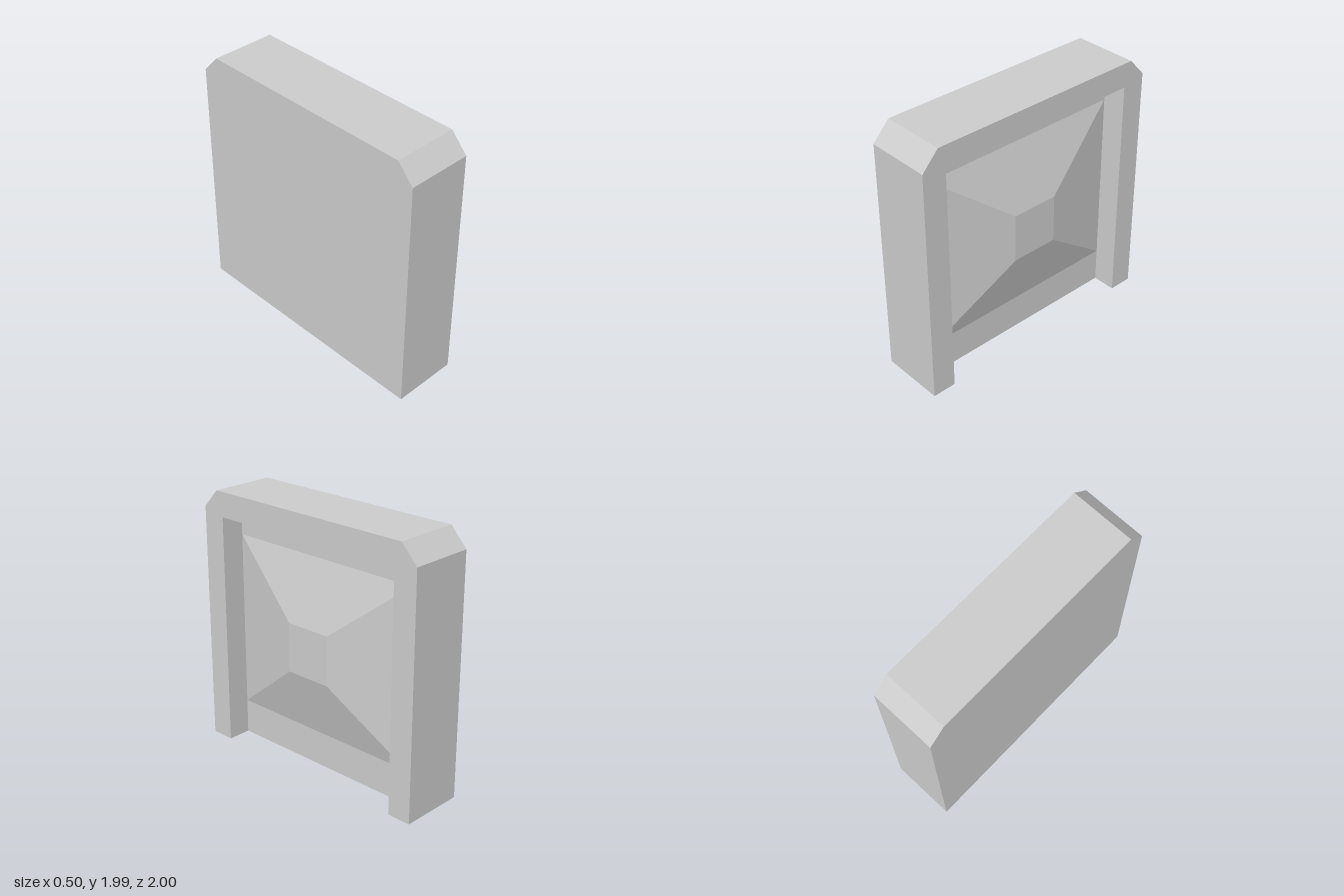
import * as THREE from 'three';

const BACK = -0.25, FRONT = 0.25, FLOOR = 0.065, PANEL = 0.208;

// Flat polygon, triangulated in the plane of axes u and v, facing along hint
function face(out, pts, u, v, hint) {
  const verts = pts.map((p) => new THREE.Vector3(...p));
  const flat = pts.map((p) => new THREE.Vector2(p[u], p[v]));
  for (const tri of THREE.ShapeUtils.triangulateShape(flat, [])) {
    const [a, b, c] = tri.map((i) => verts[i]);
    const n = b.clone().sub(a).cross(c.clone().sub(a));
    const order = n.dot(hint) < 0 ? [a, c, b] : [a, b, c];
    for (const p of order) out.push(p.x, p.y, p.z);
  }
}

// Walls along an open [z, y] profile, facing away from (side 1) or towards (side -1) the middle
function walls(out, profile, x0, x1, side) {
  for (let i = 0; i < profile.length - 1; i++) {
    const [z0, y0] = profile[i], [z1, y1] = profile[i + 1];
    const hint = new THREE.Vector3(0, (y0 + y1) / 2 - 0.95, (z0 + z1) / 2).multiplyScalar(side);
    const level = Math.abs(z1 - z0) > Math.abs(y1 - y0);
    face(out, [[x0, y0, z0], [x1, y0, z0], [x1, y1, z1], [x0, y1, z1]], 0, level ? 2 : 1, hint);
  }
}

function makeMesh(name, positions) {
  const geometry = new THREE.BufferGeometry();
  geometry.setAttribute('position', new THREE.Float32BufferAttribute(positions, 3));
  geometry.computeVertexNormals();
  const mesh = new THREE.Mesh(geometry, new THREE.MeshStandardMaterial({ color: 0xcccccc, flatShading: true }));
  mesh.name = name;
  return mesh;
}

export function createModel() {
  const group = new THREE.Group();
  group.name = 'recessedBlock';
  const toX = new THREE.Vector3(1, 0, 0);
  const at = (x, profile) => profile.map(([z, y]) => [x, y, z]);

  // Profiles as [z, y]: chamfered outline and the opening down to the ground
  const outline = [[-1, 0], [-1, 1.85], [-0.87, 1.99], [0.87, 1.99], [1, 1.85], [1, 0]];
  const opening = [[0.815, 0], [0.815, 1.8], [-0.815, 1.8], [-0.815, 0]];

  // Body with chamfered top corners and a recess on its +x side
  const body = [];
  face(body, at(BACK, outline), 2, 1, toX.clone().negate());
  face(body, at(FRONT, [...outline, ...opening]), 2, 1, toX);
  face(body, at(FLOOR, opening), 2, 1, toX);
  walls(body, outline, BACK, FRONT, 1);
  walls(body, opening, FLOOR, FRONT, -1);
  const sole = [[BACK, -1], [BACK, 1], [FRONT, 1], [FRONT, 0.815],
    [FLOOR, 0.815], [FLOOR, -0.815], [FRONT, -0.815], [FRONT, -1]];
  face(body, sole.map(([x, z]) => [x, 0, z]), 0, 2, new THREE.Vector3(0, -1, 0));
  group.add(makeMesh('body', body));

  // Raised panel: a flat-topped pyramid on the recess floor
  const rect = (x, z, y0, y1) => at(x, [[-z, y0], [-z, y1], [z, y1], [z, y0]]);
  const base = rect(FLOOR, 0.815, 0.27, 1.63);
  const top = rect(PANEL, 0.185, 0.76, 1.14);
  const panel = [];
  face(panel, top, 2, 1, toX);
  for (let i = 0; i < 4; i++) {
    const j = (i + 1) % 4;
    face(panel, [base[i], base[j], top[j], top[i]], 2, 1, toX);
  }
  group.add(makeMesh('raisedPanel', panel));
  return group;
}
